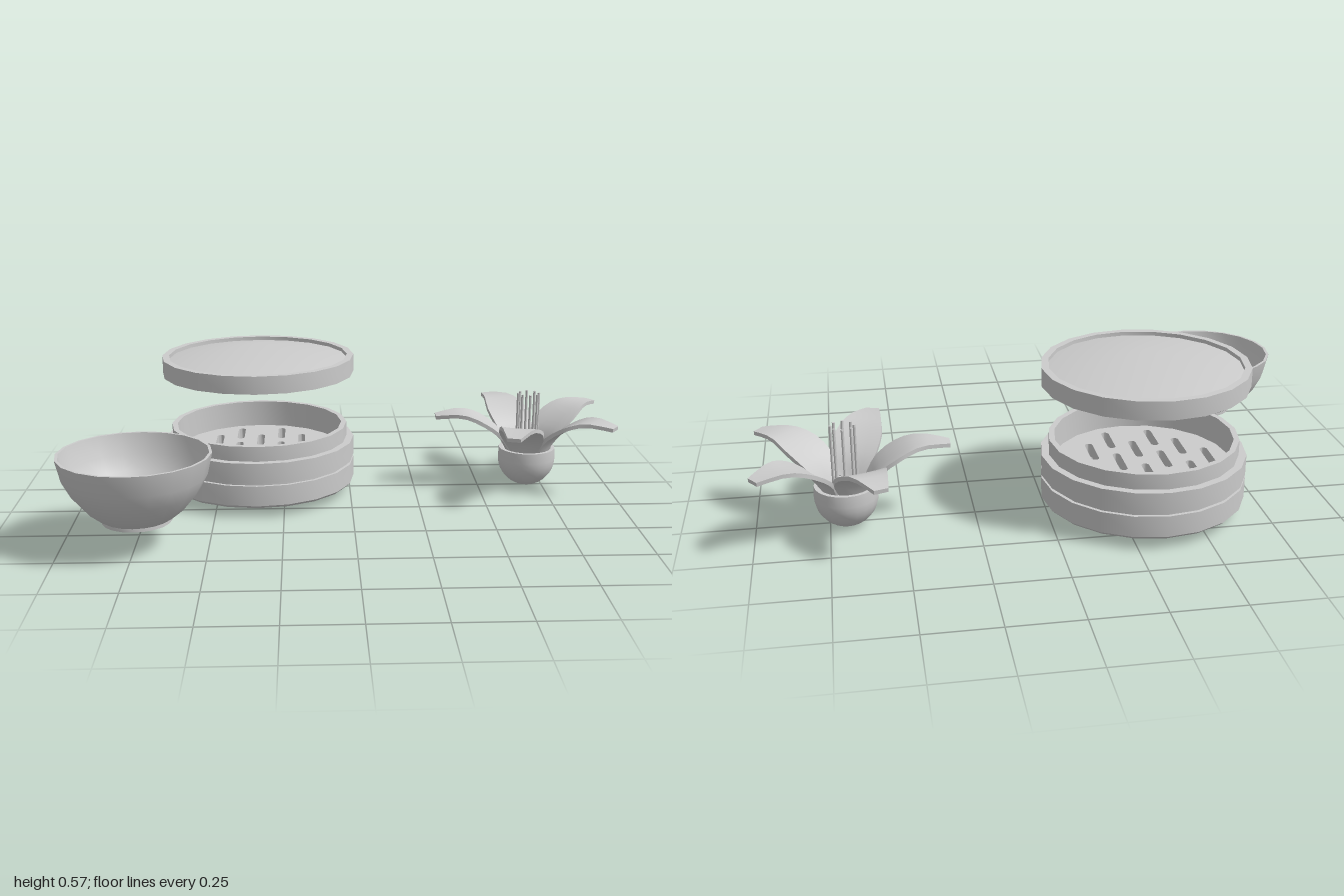
import * as THREE from 'three';
import { toCreasedNormals } from 'three/addons/utils/BufferGeometryUtils.js';

const grey = new THREE.MeshStandardMaterial({ color: 0xcccccc });

function mesh(name, geometry, crease = 0.6) {
  const m = new THREE.Mesh(toCreasedNormals(geometry, crease), grey);
  m.name = name;
  return m;
}

function lathe(name, profile, sides = 20) {
  return mesh(name, new THREE.LatheGeometry(profile.map(([r, y]) => new THREE.Vector2(r, y)), sides));
}

function group(name, x, z, ...parts) {
  const g = new THREE.Group();
  g.name = name;
  g.position.set(x, 0, z);
  if (parts.length) g.add(...parts);
  return g;
}

// Round floor pierced by staggered rounded slots
function slottedFloor() {
  const shape = new THREE.Shape();
  shape.absarc(0, 0, 0.315, 0, Math.PI * 2);
  const half = 0.07, r = 0.014;
  for (let i = -3; i <= 3; i++) {
    const x = i * 0.08;
    for (const c of i % 2 ? [-0.19, 0, 0.19] : [-0.1, 0.1]) {
      if (Math.hypot(x, Math.abs(c) + half) > 0.29) continue;
      const slot = new THREE.Path();
      slot.absarc(x, c + half - r, r, 0, Math.PI);
      slot.absarc(x, c - half + r, r, Math.PI, Math.PI * 2);
      slot.closePath();
      shape.holes.push(slot);
    }
  }
  const geo = new THREE.ExtrudeGeometry(shape, { depth: 0.05, bevelEnabled: false, curveSegments: 10 });
  geo.rotateX(-Math.PI / 2).translate(0, 0.11, 0);
  return mesh('basketFloor', geo);
}

// Petal: a thin slab bent along a side curve and tapered by a width curve
function petal() {
  const spine = new THREE.SplineCurve([[0.075, 0.14], [0.11, 0.2], [0.18, 0.255], [0.26, 0.285], [0.358, 0.276]]
    .map(p => new THREE.Vector2(...p)));
  const width = new THREE.SplineCurve([[0, 0.045], [0.3, 0.075], [0.55, 0.082], [0.8, 0.058], [1, 0.024]]
    .map(p => new THREE.Vector2(...p)));
  const geo = new THREE.BoxGeometry(1, 1, 1, 10, 1, 4);
  const pos = geo.attributes.position;
  for (let i = 0; i < pos.count; i++) {
    const t = pos.getX(i) + 0.5, side = pos.getZ(i) * 2, up = pos.getY(i) * 0.014;
    const p = spine.getPoint(t), d = spine.getTangent(t), w = width.getPoint(t).y;
    const lift = up + 0.008 * side * side * (1 - t);
    pos.setXYZ(i, p.x - d.y * lift, p.y + d.x * lift, side * w);
  }
  return geo;
}

export function createModel() {
  const model = new THREE.Group();
  model.name = 'steamerBowlAndFlower';

  // Steamer basket with a groove between its bands, and a raised lid
  const basket = lathe('basketWall', [
    [0.313, 0.035], [0.35, 0.035], [0.36, 0.045], [0.36, 0.12], [0.348, 0.12], [0.348, 0.13],
    [0.36, 0.13], [0.36, 0.205], [0.333, 0.205], [0.333, 0.26], [0.313, 0.26], [0.313, 0.035]]);
  const lid = lathe('lid', [
    [0, 0.552], [0.335, 0.495], [0.335, 0.46], [0.36, 0.46], [0.36, 0.525],
    [0.335, 0.525], [0.335, 0.511], [0, 0.57]]);
  model.add(group('steamer', -0.345, -0.26, basket, slottedFloor(), lid));

  // Bowl with a foot ring
  const bowl = lathe('bowl', [
    [0, 0.108], [0.107, 0.108], [0.107, 0.093], [0.118, 0.093], [0.118, 0.105], [0.13, 0.112],
    [0.17, 0.145], [0.215, 0.2], [0.243, 0.255], [0.26, 0.33], [0.25, 0.33],
    [0.232, 0.257], [0.205, 0.205], [0.163, 0.156], [0.115, 0.122], [0, 0.122]]);
  model.add(group('bowlGroup', -0.74, 0.355, bowl));

  // Flower: rounded cup, five petals, ring of stamens
  const cupProfile = [];
  for (let i = 0; i <= 8; i++) {
    const a = (i / 8) * Math.PI / 2;
    cupProfile.push([0.11 * Math.sin(a), 0.11 - 0.11 * Math.cos(a)]);
  }
  cupProfile.push([0.108, 0.15], [0.094, 0.15], [0.085, 0.14], [0, 0.14]);
  const flower = group('flower', 0.69, -0.26, lathe('cup', cupProfile));

  const petalGeo = petal();
  for (let i = 0; i < 5; i++) {
    const p = mesh('petal', petalGeo, 0.8);
    p.rotation.y = Math.PI + i * Math.PI * 2 / 5;
    flower.add(p);
  }
  const stamenGeo = new THREE.CylinderGeometry(0.005, 0.005, 0.235, 8);
  for (let i = 0; i < 8; i++) {
    const a = i * Math.PI / 4;
    const s = mesh('stamen', stamenGeo, 0.9);
    s.position.set(0.04 * Math.cos(a), 0.2475, 0.04 * Math.sin(a));
    flower.add(s);
  }
  model.add(flower);
  return model;
}
